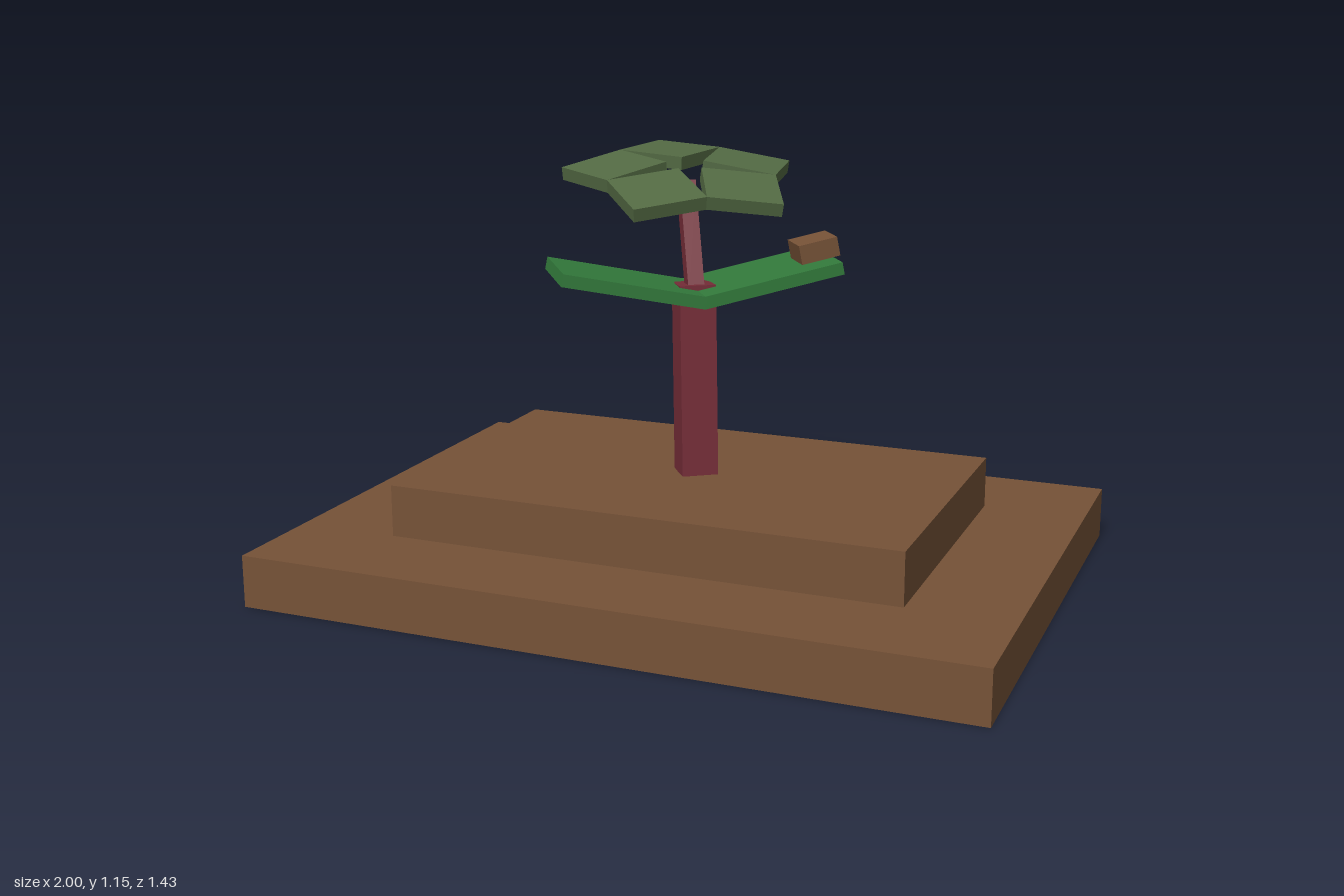
import * as THREE from 'three';

const mat = (name, color) => {
  const m = new THREE.MeshStandardMaterial({ color });
  m.name = name;
  return m;
};

export function createModel() {
  const brown = mat('earth brown', 0x765237);
  const maroon = mat('maroon', 0x762d38);
  const green = mat('leaf green', 0x327a3b);
  const olive = mat('olive green', 0x536a43);

  const root = new THREE.Group();
  root.name = 'plantOnSteps';

  const box = (name, material, w, h, d, x, y, z, parent) => {
    const mesh = new THREE.Mesh(new THREE.BoxGeometry(w, h, d), material);
    mesh.name = name;
    mesh.position.set(x, y, z);
    parent.add(mesh);
    return mesh;
  };

  // Stepped ground slabs
  box('lowerStep', brown, 2, 0.143, 1.43, 0, 0.0715, 0, root);
  box('upperStep', brown, 1.43, 0.143, 0.857, 0, 0.2145, 0, root);

  // The whole plant is turned about the vertical
  const plant = new THREE.Group();
  plant.name = 'plant';
  plant.rotation.y = THREE.MathUtils.degToRad(35.3);
  root.add(plant);

  // Square post leaning in the plant's z direction between two points
  const post = (name, w, y0, z0, y1, z1) => {
    const m = box(name, maroon, w, Math.hypot(y1 - y0, z1 - z0), w, 0, (y0 + y1) / 2, (z0 + z1) / 2, plant);
    m.rotation.x = Math.atan2(z1 - z0, y1 - y0);
  };
  post('trunk', 0.1, 0.286, 0, 0.81, -0.029);
  post('stem', 0.045, 0.78, -0.012, 1.075, -0.122);

  // Two broad leaves rising from the trunk top
  const length = 0.393, thick = 0.034;
  for (const side of [0, 1]) {
    const turn = new THREE.Group();
    turn.name = side ? 'rightLeaf' : 'leftLeaf';
    turn.position.set(0, 0.764, -0.03);
    turn.rotation.y = side * Math.PI;
    plant.add(turn);
    const rise = new THREE.Group();
    rise.name = 'leafSlope';
    rise.rotation.z = 0.2;
    turn.add(rise);
    box('leafBlade', green, length, thick, 0.27, length / 2, thick / 2, 0, rise);
    // Small block resting on the left leaf tip
    if (!side) box('leafBlock', brown, 0.11, 0.053, 0.11, 0.358, thick + 0.0265, 0, rise);
  }

  // Tilted crown of five drooping square petals
  const crown = new THREE.Group();
  crown.name = 'crown';
  crown.position.set(0, 1.109, -0.121);
  crown.rotation.x = 0.175;
  plant.add(crown);
  for (let i = 0; i < 5; i++) {
    const arm = new THREE.Group();
    arm.name = 'petal' + (i + 1);
    arm.rotation.y = Math.PI + (i * Math.PI * 2) / 5;
    crown.add(arm);
    const droop = new THREE.Group();
    droop.name = 'petalSlope';
    droop.position.z = 0.198;
    droop.rotation.x = 0.12;
    arm.add(droop);
    box('petalPlate', olive, 0.204, 0.036, 0.204, 0, -0.018, 0, droop).rotation.y = Math.PI / 4;
  }
  return root;
}
